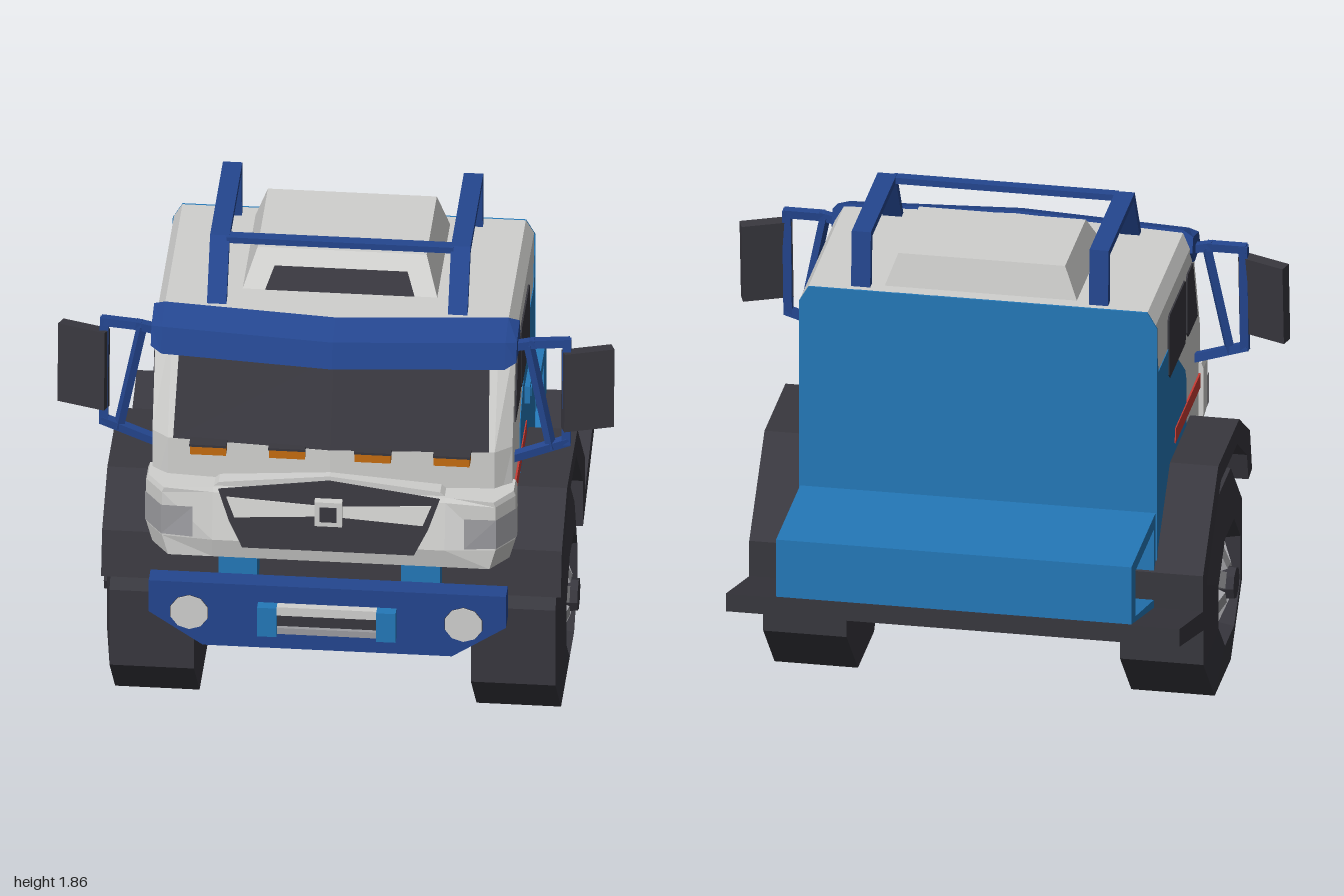
import * as THREE from 'three';

const mat = (name, color) => Object.assign(new THREE.MeshStandardMaterial({ color }), { name });
const white = mat('cab white', 0xd0d0ce), blue = mat('body blue', 0x2478b8), navy = mat('tube navy', 0x24468f);
const dark = mat('dark plastic', 0x38373e), orange = mat('marker orange', 0xc46c10), red = mat('stripe red', 0xc83c34);
const grey = mat('metal grey', 0x9c9ca0);

export function createModel() {
  const root = new THREE.Group();
  root.name = 'truck';

  // ---- helpers ----
  const flat = (g) => {
    const f = g.index ? g.toNonIndexed() : g;
    f.computeVertexNormals();
    return f;
  };
  const add = (name, geo, material, parent = root) => {
    const m = new THREE.Mesh(flat(geo), material);
    m.name = name;
    parent.add(m);
    return m;
  };
  // box given by its limits
  const box = (name, m, x0, x1, y0, y1, z0, z1) =>
    add(name, new THREE.BoxGeometry(x1 - x0, y1 - y0, z1 - z0).translate((x0 + x1) / 2, (y0 + y1) / 2, (z0 + z1) / 2), m);
  const shapeOf = (pts) => new THREE.Shape(pts.map((p) => new THREE.Vector2(...p)));
  const extrude = (shape, depth) => new THREE.ExtrudeGeometry(shape, { depth, bevelEnabled: false });
  // side profile of (z, y) points, extruded from x0 to x1
  const profile = (name, m, pts, x0, x1, hole) => {
    const s = shapeOf(pts);
    if (hole) s.holes.push(shapeOf(hole));
    return add(name, extrude(s, x1 - x0).rotateY(-Math.PI / 2).translate(x1, 0, 0), m);
  };
  // front profile of (x, y) points, extruded from z0 to z1
  const facing = (pts, z0, z1) => extrude(shapeOf(pts), z1 - z0).translate(0, 0, z0);
  const mirrored = (half) => [...half, ...half.map(([x, ...r]) => [-x, ...r]).reverse().filter(([x]) => x !== 0)];
  // solid through equal-length rings of [x, y, z], capped at both ends
  const loft = (rings) => {
    const n = rings[0].length, pos = rings.flat(2), idx = [];
    for (let r = 0; r < rings.length - 1; r++)
      for (let i = 0; i < n; i++) {
        const a = r * n + i, b = r * n + (i + 1) % n;
        idx.push(a, b, b + n, a, b + n, a + n);
      }
    [0, rings.length - 1].forEach((r) => {
      const c = pos.length / 3;
      for (let k = 0; k < 3; k++) pos.push(rings[r].reduce((s, p) => s + p[k], 0) / n);
      for (let i = 0; i < n; i++) {
        const a = r * n + i, b = r * n + (i + 1) % n;
        idx.push(...(r ? [a, b, c] : [b, a, c]));
      }
    });
    // turn the faces outward if the signed volume is negative
    const v = (i) => new THREE.Vector3(pos[3 * i], pos[3 * i + 1], pos[3 * i + 2]);
    let vol = 0;
    for (let i = 0; i < idx.length; i += 3) vol += v(idx[i]).dot(v(idx[i + 1]).cross(v(idx[i + 2])));
    if (vol < 0) idx.reverse();
    const g = new THREE.BufferGeometry();
    g.setAttribute('position', new THREE.Float32BufferAttribute(pos, 3));
    return g.setIndex(idx);
  };
  // open strip between a lower and an upper row, both running towards +x
  const strip = (lo, hi) => {
    const idx = [], n = lo.length;
    for (let i = 0; i < n - 1; i++) idx.push(i, i + 1, n + i + 1, i, n + i + 1, n + i);
    const g = new THREE.BufferGeometry();
    g.setAttribute('position', new THREE.Float32BufferAttribute([...lo, ...hi].flat(), 3));
    return g.setIndex(idx);
  };
  const strut = (name, m, a, b, r) => {
    const p = new THREE.Vector3(...a), d = new THREE.Vector3(...b).sub(p);
    const s = add(name, new THREE.CylinderGeometry(r, r, d.length() + r, 4, 1, false, Math.PI / 4), m);
    s.position.copy(p).addScaledVector(d, 0.5);
    s.quaternion.setFromUnitVectors(new THREE.Vector3(0, 1, 0), d.normalize());
  };

  // ---- cab: height, half width, side z, front corner z, centre z ----
  const cabRing = ([y, w, zs, zf, zc]) =>
    [[-w, y, -0.31], [-w, y, zs], [-w + 0.06, y, zf], [0, y, zc], [w - 0.06, y, zf], [w, y, zs], [w, y, -0.31]];
  add('cab', loft([[0.92, 0.65, 0.56, 0.6, 0.64], [1.22, 0.65, 0.55, 0.6, 0.64],
    [1.6, 0.65, 0.41, 0.43, 0.465], [1.65, 0.62, 0.39, 0.41, 0.44]].map(cabRing)), white);
  profile('cabLowerFront', white, [[0.35, 0.95], [0.36, 0.93], [0.57, 0.79], [0.6, 0.95]], -0.65, 0.65);
  profile('cabLowerRear', blue, [[0, 0.95], [-0.31, 0.95], [-0.31, 0.6], [-0.05, 0.9]], -0.653, 0.653);
  add('backPanel', facing(mirrored([[0.655, 0.6], [0.655, 1.59], [0.62, 1.65]]), -0.317, -0.309), blue);
  add('windshield', strip([[-0.57, 1.225, 0.61], [0, 1.225, 0.646], [0.57, 1.225, 0.61]],
    [[-0.56, 1.53, 0.472], [0, 1.53, 0.506], [0.56, 1.53, 0.472]]), dark);

  // ---- painted sides, windows and stripe ----
  for (const s of [-1, 1]) {
    const side = (name, m, pts, t) => profile(name, m, pts, s > 0 ? 0.649 : -0.65 - t, s > 0 ? 0.65 + t : -0.649);
    side('bluePaint', blue, [[0.27, 0.92], [0.27, 1.13], [0.25, 1.17], [0.12, 1.27], [-0.04, 1.385], [-0.08, 1.4],
      [-0.27, 1.4], [-0.285, 1.44], [-0.312, 1.56], [-0.312, 0.92]], 0.003);
    side('rearWindow', dark, [[0.235, 1.53], [0.25, 1.515], [0.25, 1.3], [0.235, 1.28], [-0.06, 1.28], [-0.08, 1.3],
      [-0.08, 1.515], [-0.065, 1.53]], 0.006);
    side('frontWindow', dark, [[0.29, 1.53], [0.39, 1.53], [0.48, 1.28], [0.3, 1.28], [0.28, 1.3], [0.28, 1.515]], 0.006);
    side('redStripe', red, [[0.53, 0.975], [0.53, 1.03], [0.05, 1.03], [0.04, 0.975]], 0.007);
  }
  box('doorHandle', blue, 0.65, 0.672, 1.13, 1.2, -0.08, 0.1);
  box('handleGrip', blue, 0.67, 0.676, 1.15, 1.18, -0.06, 0.08);

  // ---- sun visor, swept back at the ends ----
  const visorRing = (x, dz, k) => [[0.44, 1.66], [0.55, 1.62], [0.58, 1.525], [0.47, 1.505], [0.42, 1.58]]
    .map(([z, y]) => [x, 1.6 + (y - 1.6) * k, z - dz]);
  add('sunVisor', loft([visorRing(-0.66, 0.07, 0.7), visorRing(-0.62, 0.055, 1), visorRing(0, 0, 1),
    visorRing(0.62, 0.055, 1), visorRing(0.66, 0.07, 0.7)]), navy);

  // ---- lower front panel, headlamps and grille ----
  const panelRing = ([y, w, zc]) => mirrored([[w, 0.53], [w, 0.61], [w - 0.065, 0.7], [0.42, zc], [0, zc]]).map(([x, z]) => [x, y, z]);
  add('frontPanel', loft([[0.79, 0.645, 0.7], [0.87, 0.667, 0.718], [1.05, 0.667, 0.685], [1.07, 0.66, 0.675]].map(panelRing)), white);
  add('grilleBrow', facing(mirrored([[0.46, 1.03], [0.4, 1.085], [0, 1.13]]), 0.6, 0.67), white);
  const lean = (g) => { // follow the sloping front panel
    const p = g.attributes.position;
    for (let i = 0; i < p.count; i++) p.setZ(i, p.getZ(i) + 0.718 - (p.getY(i) - 0.87) * 0.185);
    return g;
  };
  add('grille', lean(facing(mirrored([[0.31, 0.85], [0.36, 0.95], [0.4, 1.065], [0, 1.115]]), 0, 0.007)), dark);
  for (const s of [-1, 1])
    add('grilleBar', lean(facing((s > 0 ? [[0, 0.985], [0.34, 0.965], [0.37, 1.04], [0, 1.02]]
      : [[0, 1.02], [-0.37, 1.04], [-0.34, 0.965], [0, 0.985]]), 0.005, 0.012)), white);
  box('grilleCentre', white, -0.05, 0.05, 0.95, 1.05, 0.69, 0.722);
  box('grilleCentreInset', dark, -0.03, 0.03, 0.97, 1.03, 0.72, 0.726);
  const lampRow = (s, y, z) => {
    const row = [[0.672, 0.57], [0.672, 0.612], [0.605, 0.706], [0.49, z]].map(([x, zz]) => [s * x, y, zz]);
    return s > 0 ? row.reverse() : row;
  };
  for (const s of [-1, 1]) add('headlamp', strip(lampRow(s, 0.88, 0.719), lampRow(s, 1.0, 0.71)), grey);
  for (const x of [-0.44, -0.155, 0.155, 0.44]) {
    box('markerLamp', orange, x - 0.065, x + 0.065, 1.19, 1.224, 0.59, 0.66);
    box('markerLampCap', dark, x - 0.067, x + 0.067, 1.224, 1.233, 0.585, 0.664);
  }

  // ---- bumper with fog lamps and winch ----
  add('bumper', facing(mirrored([[0.45, 0.45], [0.645, 0.58], [0.645, 0.71]]), 0.68, 0.755), navy);
  for (const s of [-1, 1]) {
    const fog = (name, m, r0, r1, z0, z1) => add(name, new THREE.CylinderGeometry(r1, r0, z1 - z0, 10)
      .rotateX(Math.PI / 2).translate(s * 0.495, 0.61, (z0 + z1) / 2), m);
    fog('fogLampHousing', dark, 0.04, 0.072, 0.75, 0.796);
    fog('fogLampLens', white, 0.07, 0.07, 0.795, 0.8);
    box('winchEnd', blue, s > 0 ? 0.18 : -0.25, s > 0 ? 0.25 : -0.18, 0.52, 0.64, 0.75, 0.795);
  }
  box('winchPlate', white, -0.18, 0.18, 0.605, 0.64, 0.75, 0.785);
  box('winchRecess', dark, -0.18, 0.18, 0.53, 0.605, 0.75, 0.765);
  box('winchRoller', grey, -0.18, 0.18, 0.525, 0.55, 0.75, 0.78);

  // ---- wheel arch and rear floor, full width ----
  profile('wheelArch', dark, [[0.61, 0.63], [0.57, 0.8], [0.36, 0.94], [-0.05, 0.94], [-0.35, 0.64], [-0.35, 0.5],
    [-0.81, 0.64], [-0.81, 0.57], [-0.27, 0.4], [-0.27, 0.59], [0, 0.86], [0.32, 0.86], [0.51, 0.73], [0.54, 0.62]], -0.83, 0.83);

  // ---- rear deck with side recesses ----
  const deck = [[-0.31, 0.86], [-0.79, 0.86], [-0.79, 0.625], [-0.35, 0.49], [-0.31, 0.5]];
  const recess = [[-0.345, 0.81], [-0.71, 0.81], [-0.71, 0.63], [-0.345, 0.53]];
  profile('rearDeck', blue, deck, -0.57, 0.57);
  profile('deckSide', blue, deck, 0.569, 0.65, recess);
  profile('deckSide', blue, deck, -0.65, -0.569, recess);

  // ---- chassis rails and axle ----
  for (const x of [-0.33, 0.33])
    profile('chassisRail', blue, [[0.68, 0.79], [0.6, 0.79], [0.58, 0.6], [0.45, 0.5], [-0.3, 0.55], [-0.3, 0.43],
      [-0.1, 0.29], [0.48, 0.29], [0.68, 0.5]], x - 0.07, x + 0.07);
  box('axle', dark, -0.51, 0.51, 0.295, 0.48, 0.03, 0.31);

  // ---- wheels ----
  for (const s of [-1, 1]) {
    const wheel = new THREE.Group();
    wheel.name = 'wheel';
    wheel.position.set(s * 0.5, 0.38, 0.17);
    wheel.rotation.set(0, s > 0 ? 0 : Math.PI, -Math.PI / 2);
    root.add(wheel);
    const tyre = [[0, 0], [0.411, 0], [0.411, 0.305], [0.23, 0.33], [0.21, 0.25], [0, 0.25]].map((p) => new THREE.Vector2(...p));
    add('tyre', new THREE.LatheGeometry(tyre, 8, Math.PI / 8), dark, wheel);
    add('hub', new THREE.CylinderGeometry(0.06, 0.07, 0.11, 8).translate(0, 0.3, 0), dark, wheel);
    for (let k = 0; k < 6; k++)
      add('spoke', new THREE.BoxGeometry(0.15, 0.03, 0.06).rotateZ(-0.4).translate(0.13, 0.285, 0).rotateY(k * Math.PI / 3), grey, wheel);
  }

  // ---- roof hatch and roof rails ----
  const hatchRing = (y, w, zf, zb) => [[-w, y, zb], [-w, y, zf], [w, y, zf], [w, y, zb]];
  add('roofHatch', loft([hatchRing(1.64, 0.355, 0.26, -0.26), hatchRing(1.775, 0.305, 0.165, -0.24)]), white);
  add('hatchWindow', strip([[-0.27, 1.652, 0.258], [0.27, 1.652, 0.258]], [[-0.24, 1.725, 0.207], [0.24, 1.725, 0.207]]), dark);
  for (const x of [-0.435, 0.435])
    profile('roofRail', navy, [[0.37, 1.645], [0.24, 1.862], [-0.27, 1.862], [-0.285, 1.645], [-0.25, 1.645],
      [-0.24, 1.835], [0.225, 1.835], [0.335, 1.645]], x - 0.035, x + 0.035);
  box('roofCrossBar', navy, -0.41, 0.41, 1.836, 1.86, 0.21, 0.25);

  // ---- mirrors on their frames ----
  for (const s of [-1, 1]) {
    const mirror = add('sideMirror', new THREE.BoxGeometry(0.185, 0.31, 0.045), dark);
    mirror.position.set(s * 0.91, 1.4, 0.42);
    mirror.rotation.set(-0.09, s * 0.35, 0);
    const path = [[0.64, 1.57, 0.43], [0.71, 1.585, 0.43], [0.835, 1.59, 0.42], [0.835, 1.19, 0.445], [0.65, 1.125, 0.46]];
    for (let i = 0; i < path.length - 1; i++)
      strut('mirrorFrame', navy, [s * path[i][0], ...path[i].slice(1)], [s * path[i + 1][0], ...path[i + 1].slice(1)], 0.022);
    strut('mirrorBrace', navy, [s * 0.7, 1.57, 0.43], [s * 0.79 - s * 0.2 + s * 0.19, 1.17, 0.45], 0.02);
  }
  return root;
}
